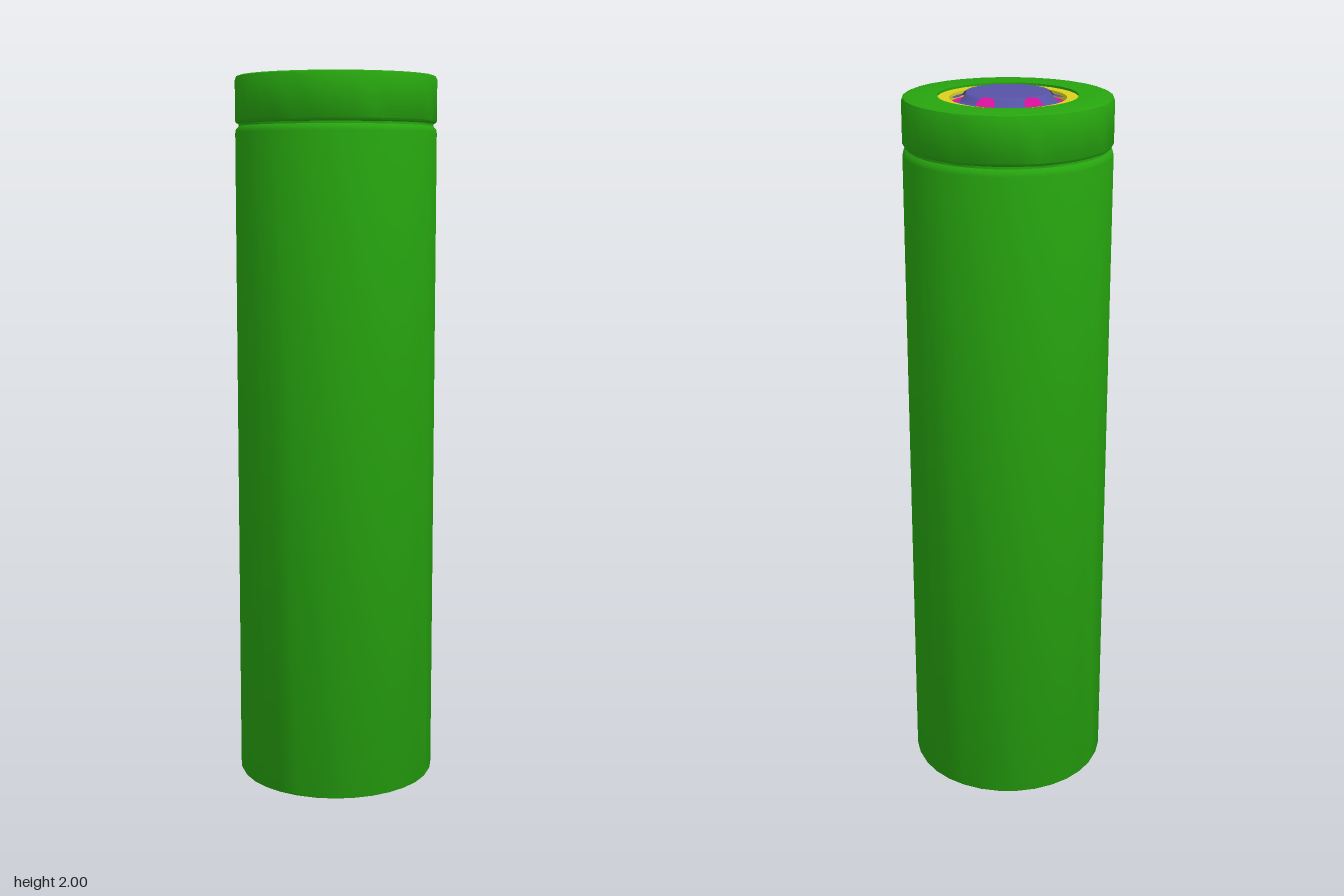
import * as THREE from 'three';
import { toCreasedNormals } from 'three/addons/utils/BufferGeometryUtils.js';
import { ParametricGeometry } from 'three/addons/geometries/ParametricGeometry.js';

const SIDES = 32;
const paint = (color) => new THREE.MeshStandardMaterial({ color, side: THREE.DoubleSide });

function lathe(name, points, material) {
  const profile = points.map(([r, y]) => new THREE.Vector2(r, y));
  const geometry = toCreasedNormals(new THREE.LatheGeometry(profile, SIDES), 0.7);
  const mesh = new THREE.Mesh(geometry, material);
  mesh.name = name;
  return mesh;
}

function disc(name, radius, y, up, material) {
  const mesh = new THREE.Mesh(new THREE.CircleGeometry(radius, SIDES), material);
  mesh.rotation.x = up ? -Math.PI / 2 : Math.PI / 2;
  mesh.position.y = y;
  mesh.name = name;
  return mesh;
}

export function createModel() {
  const model = new THREE.Group();
  model.name = 'batteryCell';
  const green = paint(0x27a50f);
  const yellow = paint(0xdccf20);
  const metal = paint(0x5753a6);
  const magenta = paint(0xdb129d);

  // Wrapped can with rounded rims and a crimp groove near the top
  model.add(lathe('wrapper', [
    [0.186, 0.008], [0.186, 0], [0.27, 0], [0.277, 0.003], [0.28, 0.01],
    [0.28, 1.836], [0.278, 1.846], [0.27, 1.854], [0.27, 1.86], [0.277, 1.863], [0.28, 1.868],
    [0.28, 1.98], [0.277, 1.987], [0.27, 1.99], [0.186, 1.99], [0.186, 1.965],
  ], green));

  // Negative terminal
  model.add(disc('negativeTerminal', 0.186, 0.003, false, metal));

  // Insulating ring and the vent plate below the cap
  model.add(lathe('insulatorRing', [[0.186, 1.984], [0.155, 1.984], [0.155, 1.965]], yellow));
  model.add(disc('ventPlate', 0.157, 1.967, true, magenta));

  // Positive cap: six hat-shaped sectors with vent notches between them
  const cap = new THREE.Group();
  cap.name = 'positiveCap';
  cap.add(disc('capTop', 0.101, 2, true, metal));

  // Each point is radius, height and half-width of the notch
  const section = new THREE.CatmullRomCurve3([
    [0.1, 2, 0], [0.108, 1.9995, 0], [0.11, 1.999, 0.011], [0.115, 1.996, 0.02],
    [0.122, 1.988, 0.025], [0.13, 1.98, 0.028], [0.14, 1.977, 0.033], [0.155, 1.976, 0.041],
  ].map((p) => new THREE.Vector3(...p)));
  const sectorGeometry = new ParametricGeometry((u, v, target) => {
    const p = section.getPoint(v);
    const notch = Math.asin(Math.max(0, p.z) / p.x);
    const angle = (0.5 - u) * (Math.PI / 3 - 2 * notch);
    target.set(p.x * Math.sin(angle), p.y, p.x * Math.cos(angle));
  }, 8, 28);
  for (let i = 0; i < 6; i++) {
    const sector = new THREE.Mesh(sectorGeometry, metal);
    sector.rotation.y = (i + 0.5) * Math.PI / 3;
    sector.name = 'capSector';
    cap.add(sector);
  }
  model.add(cap);

  return model;
}
